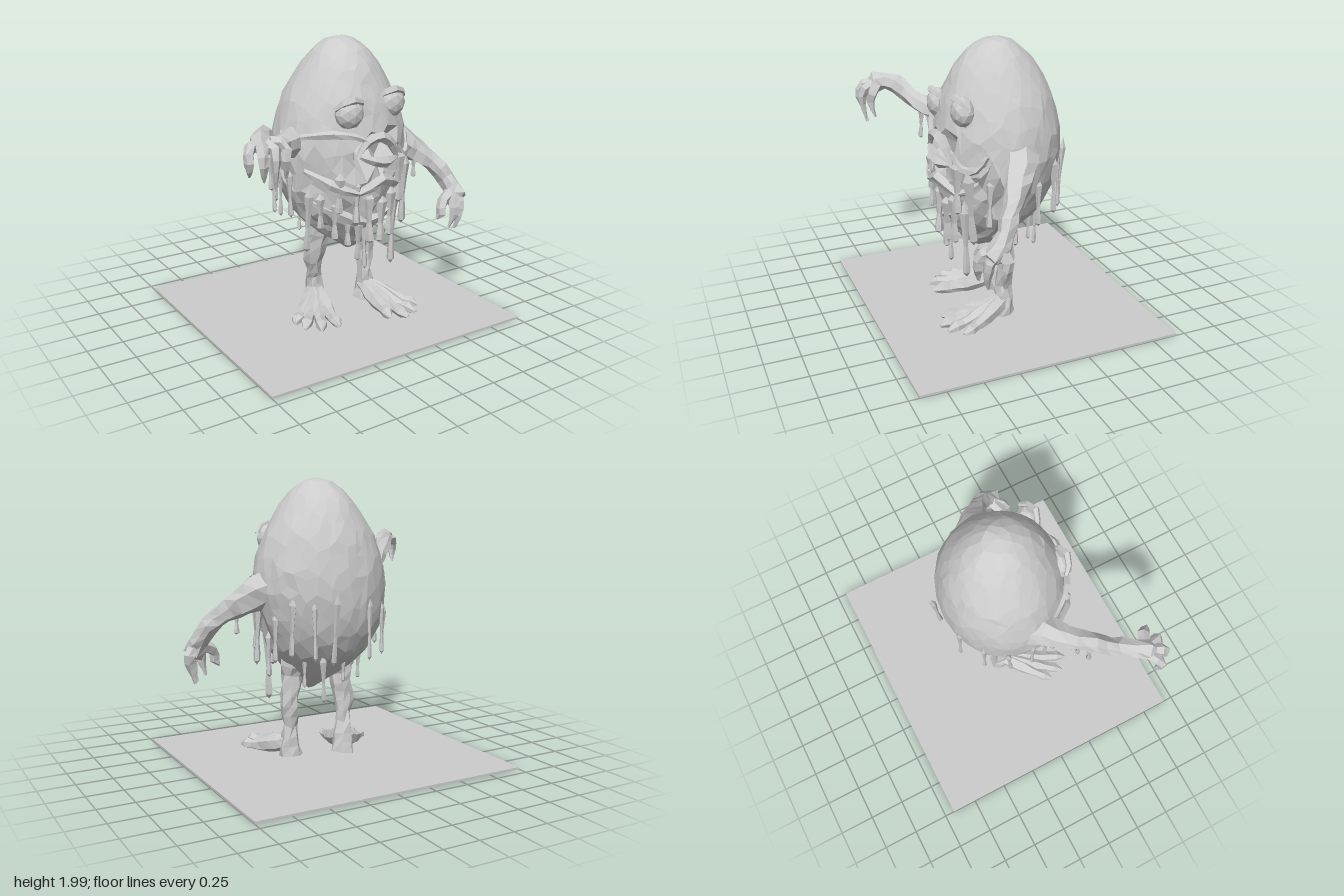
import * as THREE from 'three';
import { mergeVertices } from 'three/addons/utils/BufferGeometryUtils.js';

// Body cross-sections: y, x right, x left, z back, z front
const ROWS = [
  [0.48, 0.06, 0.08, 0.12, 0.14], [0.55, -0.03, 0.17, 0, 0.26], [0.65, -0.18, 0.28, -0.14, 0.32],
  [0.8, -0.31, 0.4, -0.31, 0.4], [1.0, -0.4, 0.48, -0.4, 0.46], [1.2, -0.43, 0.53, -0.42, 0.47],
  [1.4, -0.4, 0.52, -0.41, 0.45], [1.6, -0.33, 0.45, -0.36, 0.4], [1.8, -0.2, 0.33, -0.26, 0.31],
  [1.9, -0.12, 0.25, -0.17, 0.23], [1.97, -0.03, 0.17, -0.08, 0.13], [1.99, 0.07, 0.07, 0.03, 0.03],
];

function createModel() {
  const model = new THREE.Group();
  const grey = new THREE.MeshStandardMaterial({ color: 0xcccccc, flatShading: true, side: THREE.DoubleSide });

  let seed = 7;
  const rand = () => (seed = (seed * 16807) % 2147483647) / 2147483647;
  const spread = (a) => (rand() - 0.5) * 2 * a;

  function add(geometry, name, parent = model) {
    const mesh = new THREE.Mesh(geometry, grey);
    mesh.name = name;
    parent.add(mesh);
    return mesh;
  }

  function group(name) {
    const g = new THREE.Group();
    g.name = name;
    model.add(g);
    return g;
  }

  // Joins shared corners so that moving them leaves no gaps
  function weld(geometry) {
    geometry.deleteAttribute('uv');
    geometry.deleteAttribute('normal');
    return mergeVertices(geometry, 1e-4);
  }

  // Centre and half widths of the body at height y
  function section(y) {
    let i = 0;
    while (i < ROWS.length - 2 && y > ROWS[i + 1][0]) i++;
    const t = THREE.MathUtils.clamp((y - ROWS[i][0]) / (ROWS[i + 1][0] - ROWS[i][0]), 0, 1);
    const [, x0, x1, z0, z1] = ROWS[i].map((v, k) => THREE.MathUtils.lerp(v, ROWS[i + 1][k], t));
    return { cx: (x0 + x1) / 2, rx: (x1 - x0) / 2, cz: (z0 + z1) / 2, rz: (z1 - z0) / 2 };
  }
  function frontZ(x, y) {
    const s = section(y);
    return s.cz + s.rz * Math.sqrt(Math.max(0, 1 - ((x - s.cx) / s.rx) ** 2));
  }

  // Tapering, slightly uneven tube through points [x, y, z, radius]
  function limb(points, name, parent, sides = 6, rings = 3, rough = 0.08) {
    const curve = new THREE.CatmullRomCurve3(points.map((p) => new THREE.Vector3(p[0], p[1], p[2])));
    const steps = (points.length - 1) * rings;
    const tube = new THREE.TubeGeometry(curve, steps, 1, sides);
    const pos = tube.attributes.position;
    const v = new THREE.Vector3();
    for (let i = 0; i <= steps; i++) {
      const u = i / steps;
      const c = curve.getPointAt(u);
      const t = curve.getUtoTmapping(u) * (points.length - 1);
      const k = Math.min(Math.floor(t), points.length - 2);
      const r = THREE.MathUtils.lerp(points[k][3], points[k + 1][3], t - k);
      for (let j = 0; j <= sides; j++) {
        const n = i * (sides + 1) + j;
        v.fromBufferAttribute(pos, n).sub(c).multiplyScalar(r).add(c);
        pos.setXYZ(n, v.x, v.y, v.z);
      }
    }
    const geometry = weld(tube);
    const p = geometry.attributes.position;
    for (let i = 0; i < p.count; i++) {
      const a = rough * points[0][3];
      p.setXYZ(i, p.getX(i) + spread(a), Math.max(0.018, p.getY(i) + spread(a)), p.getZ(i) + spread(a));
    }
    geometry.computeVertexNormals();
    return add(geometry, name, parent);
  }

  // Hanging drop with a pinched neck and a swollen tip
  function drip(x, z, top, tip, r, parent) {
    const h = top - tip;
    const profile = [[0, 0], [0.8, 0.06], [0.75, 0.18], [0.45, 0.4], [0.75, 0.65], [1.1, 0.85], [0, 1]]
      .map(([w, t]) => new THREE.Vector2(w * r, t * h));
    const mesh = add(new THREE.LatheGeometry(profile, 5), 'drip', parent);
    mesh.position.set(x, tip, z);
    mesh.rotation.set(spread(0.05), rand() * 6, spread(0.05));
  }

  // Ground plate
  add(new THREE.BoxGeometry(2, 0.016, 1.86), 'groundPlate').position.y = 0.008;

  // Egg-shaped body with uneven facets and a sunken mouth
  const body = weld(new THREE.IcosahedronGeometry(1, 6));
  const p = body.attributes.position;
  const d = new THREE.Vector3();
  for (let i = 0; i < p.count; i++) {
    d.fromBufferAttribute(p, i);
    d.set(d.x + spread(0.05), d.y + spread(0.05), d.z + spread(0.05)).normalize();
    const y = 1.235 + 0.755 * d.y;
    const s = section(y);
    const a = Math.atan2(d.z, d.x);
    const k = 1 + spread(y < 1.2 && d.z > 0 ? 0.06 : 0.012);
    const x = s.cx + s.rx * Math.cos(a) * k;
    let z = s.cz + s.rz * Math.sin(a) * k;
    if (d.z > 0 && ((x - 0.1) / 0.15) ** 2 + ((y - 1.28) / 0.09) ** 2 < 1) z -= 0.12;
    p.setXYZ(i, x, y, z);
  }
  body.computeVertexNormals();
  add(body, 'body');

  // Eyes with heavy lids
  for (const [x, y, r] of [[-0.09, 1.53, 0.105], [0.27, 1.56, 0.105]]) {
    const eye = group('eye');
    const z = frontZ(x, y) - 0.01;
    const ball = add(new THREE.IcosahedronGeometry(r, 1), 'eyeball', eye);
    ball.position.set(x, y, z);
    ball.scale.z = 0.75;
    limb([-1, -0.5, 0, 0.5, 1].map((t) => [x + t * r * 1.05, y + r * (0.95 - 0.6 * t * t),
      z + 0.05 - 0.06 * t * t, 0.028 - 0.012 * t * t]), 'eyelid', eye, 5, 1);
  }

  // Lips and sagging folds lie on the front of the body
  const onFront = (list, name, parent) =>
    limb(list.map(([x, y, r]) => [x, y, frontZ(x, y) + 0.005, r]), name, parent, 5, 2, 0.2);
  const face = group('face');
  onFront([[-0.07, 1.25, 0.015], [0, 1.34, 0.03], [0.1, 1.37, 0.04], [0.2, 1.31, 0.035], [0.27, 1.2, 0.015]], 'upperLip', face);
  onFront([[-0.06, 1.25, 0.015], [0.05, 1.21, 0.035], [0.15, 1.19, 0.04], [0.26, 1.2, 0.015]], 'lowerLip', face);
  onFront([[-0.36, 1.37, 0.02], [-0.22, 1.4, 0.03], [-0.1, 1.39, 0.025], [0, 1.35, 0.02]], 'cheekFold', face);
  onFront([[0.27, 1.28, 0.02], [0.34, 1.19, 0.03], [0.42, 1.2, 0.03], [0.46, 1.3, 0.02]], 'cheekFold', face);
  onFront([[-0.36, 1.15, 0.02], [-0.22, 1.06, 0.04], [-0.05, 1.0, 0.03], [0.12, 1.07, 0.045], [0.3, 1.0, 0.03], [0.42, 1.1, 0.02]], 'bellyFold', face);
  onFront([[-0.3, 0.92, 0.02], [-0.12, 0.82, 0.04], [0.05, 0.76, 0.04], [0.22, 0.82, 0.045], [0.36, 0.92, 0.02]], 'bellyFold', face);

  // Drips around the body: angle in degrees (0 = left, 90 = front), top, tip, radius
  const drips = group('drips');
  for (const [deg, top, tip, r] of [
    [150, 1.05, 0.57, 0.03], [165, 1.15, 0.8, 0.025], [138, 1.0, 0.74, 0.03], [125, 0.95, 0.66, 0.03],
    [112, 0.85, 0.6, 0.03], [100, 0.8, 0.48, 0.03], [88, 0.78, 0.4, 0.025], [90, 1.0, 0.62, 0.04],
    [75, 0.95, 0.6, 0.04], [62, 1.0, 0.62, 0.04], [50, 0.95, 0.38, 0.035], [42, 1.2, 0.66, 0.035],
    [28, 1.15, 0.78, 0.03], [12, 1.15, 0.7, 0.03], [0, 0.95, 0.62, 0.025], [58, 1.25, 0.86, 0.045],
    [105, 1.1, 0.78, 0.035], [120, 1.15, 0.86, 0.035], [180, 1.15, 0.78, 0.02], [200, 1.1, 0.75, 0.02],
    [225, 1.15, 0.77, 0.02], [250, 1.2, 0.76, 0.02], [285, 1.25, 0.75, 0.022], [300, 1.2, 0.78, 0.02],
    [320, 1.22, 0.8, 0.025], [340, 1.1, 0.75, 0.025], [290, 0.8, 0.46, 0.022], [255, 0.75, 0.58, 0.02],
    [315, 0.78, 0.56, 0.02], [220, 0.78, 0.58, 0.02],
  ]) {
    const s = section(top - 0.05);
    const a = THREE.MathUtils.degToRad(deg);
    drip(s.cx + s.rx * Math.cos(a), s.cz + s.rz * Math.sin(a), top, tip, r, drips);
  }
  drip(-0.65, 0.33, 1.35, 1.09, 0.024, drips);
  drip(-0.58, 0.28, 1.3, 1.09, 0.022, drips);
  drip(0.63, 0.15, 1.12, 0.92, 0.025, drips);

  // Raised right arm with hanging fingers
  const rightArm = group('rightArm');
  limb([[-0.28, 1.29, 0.04, 0.15], [-0.42, 1.32, 0.14, 0.1], [-0.56, 1.34, 0.28, 0.068], [-0.7, 1.43, 0.4, 0.062],
    [-0.8, 1.51, 0.5, 0.065], [-0.86, 1.5, 0.6, 0.075], [-0.88, 1.46, 0.66, 0.03]], 'arm', rightArm, 7, 2);
  for (const [x, z, tip] of [[-0.97, 0.66, 1.31], [-0.91, 0.72, 1.28], [-0.83, 0.72, 1.22], [-0.74, 0.68, 1.27]]) {
    limb([[-0.86, 1.49, 0.58, 0.045], [x + 0.01, 1.48, z - 0.03, 0.038], [x, 1.39, z, 0.03],
      [x + 0.015, tip, z - 0.03, 0.008]], 'finger', rightArm, 5, 2);
  }

  // Lowered left arm with curled fingers
  const leftArm = group('leftArm');
  limb([[0.38, 1.28, 0, 0.16], [0.52, 1.21, 0.05, 0.13], [0.65, 1.12, 0.13, 0.085], [0.77, 1.01, 0.22, 0.065],
    [0.85, 0.88, 0.31, 0.06], [0.85, 0.79, 0.36, 0.08], [0.82, 0.74, 0.38, 0.03]], 'arm', leftArm, 7, 2);
  for (const [x, z, tip] of [[0.91, 0.3, 0.57], [0.86, 0.4, 0.56], [0.78, 0.43, 0.59], [0.69, 0.4, 0.66]]) {
    limb([[0.85, 0.83, 0.34, 0.05], [x + 0.01, 0.77, z, 0.04], [x, 0.69, z + 0.015, 0.035],
      [x - 0.03, tip, z, 0.01]], 'finger', leftArm, 5, 2);
  }

  // Legs with splayed toes
  const legs = [
    ['rightLeg', [[-0.1, 0.75, 0.05, 0.12], [-0.13, 0.58, 0.03, 0.08], [-0.14, 0.4, 0, 0.065], [-0.11, 0.25, -0.04, 0.055],
      [-0.1, 0.12, -0.05, 0.075], [-0.09, 0.03, -0.06, 0.085]], [[-0.4, 0.2], [-0.38, 0.3], [-0.3, 0.37], [-0.18, 0.38]]],
    ['leftLeg', [[0.24, 0.75, 0.05, 0.11], [0.26, 0.58, 0.05, 0.07], [0.28, 0.4, 0.04, 0.06], [0.27, 0.25, 0.05, 0.055],
      [0.27, 0.12, 0.05, 0.07], [0.27, 0.03, 0.05, 0.08]], [[0.2, 0.46], [0.3, 0.51], [0.39, 0.48], [0.47, 0.4]]],
  ];
  for (const [name, points, toes] of legs) {
    const leg = group(name);
    limb(points, 'leg', leg, 7, 2, 0.1);
    const [ax, , az] = points[4];
    for (const [x, z] of toes) {
      const at = (t) => [ax + (x - ax) * t, az + (z - az) * t];
      const [[x1, z1], [x2, z2], [x3, z3]] = [at(0.45), at(0.8), at(1.08)];
      limb([[ax, 0.13, az, 0.06], [x1, 0.08, z1, 0.06], [x2, 0.055, z2, 0.038], [x, 0.055, z, 0.042],
        [x3, 0.04, z3, 0.012]], 'toe', leg, 6, 2);
    }
  }
  return model;
}

export { createModel };
